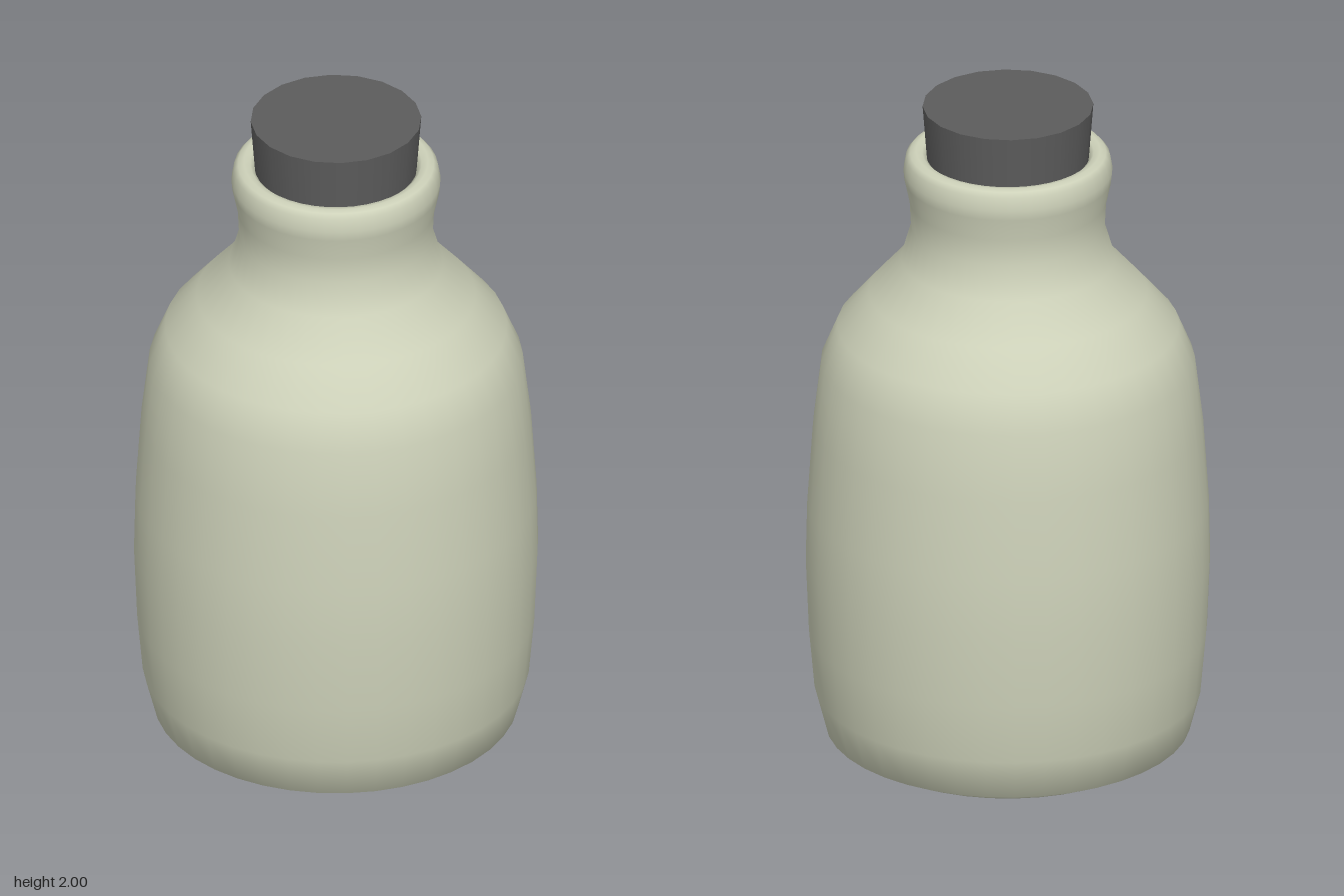
import * as THREE from 'three';

export function createModel() {
  const model = new THREE.Group();
  model.name = 'corkedBottle';

  const glass = new THREE.MeshStandardMaterial({ side: THREE.DoubleSide });
  glass.color.set(0xcdd1b9);
  const dark = new THREE.MeshStandardMaterial();
  dark.color.set(0x5c5c5c);

  // Bottle: base, belly, shoulder, neck, rounded lip, and the lip's inner wall
  const profile = [
    [0, 0], [0.31, 0.003], [0.45, 0.02], [0.523, 0.057], [0.555, 0.18],
    [0.571, 0.36], [0.58, 0.58], [0.576, 0.76], [0.56, 1.0], [0.536, 1.2],
    [0.49, 1.31], [0.4, 1.415], [0.307, 1.52], [0.278, 1.62], [0.282, 1.7],
    [0.297, 1.77], [0.3, 1.8], [0.293, 1.838], [0.281, 1.852], [0.264, 1.857],
    [0.246, 1.853], [0.234, 1.842], [0.228, 1.81], [0.222, 1.7],
  ].map(([r, y]) => new THREE.Vector2(r, y));
  const bottle = new THREE.Mesh(new THREE.LatheGeometry(profile, 40), glass);
  bottle.name = 'bottle';
  model.add(bottle);

  // Tapered stopper, pushed into the neck
  const stopper = new THREE.Mesh(new THREE.CylinderGeometry(0.245, 0.222, 0.3, 20), dark);
  stopper.name = 'stopper';
  stopper.position.y = 1.85;
  model.add(stopper);

  return model;
}
